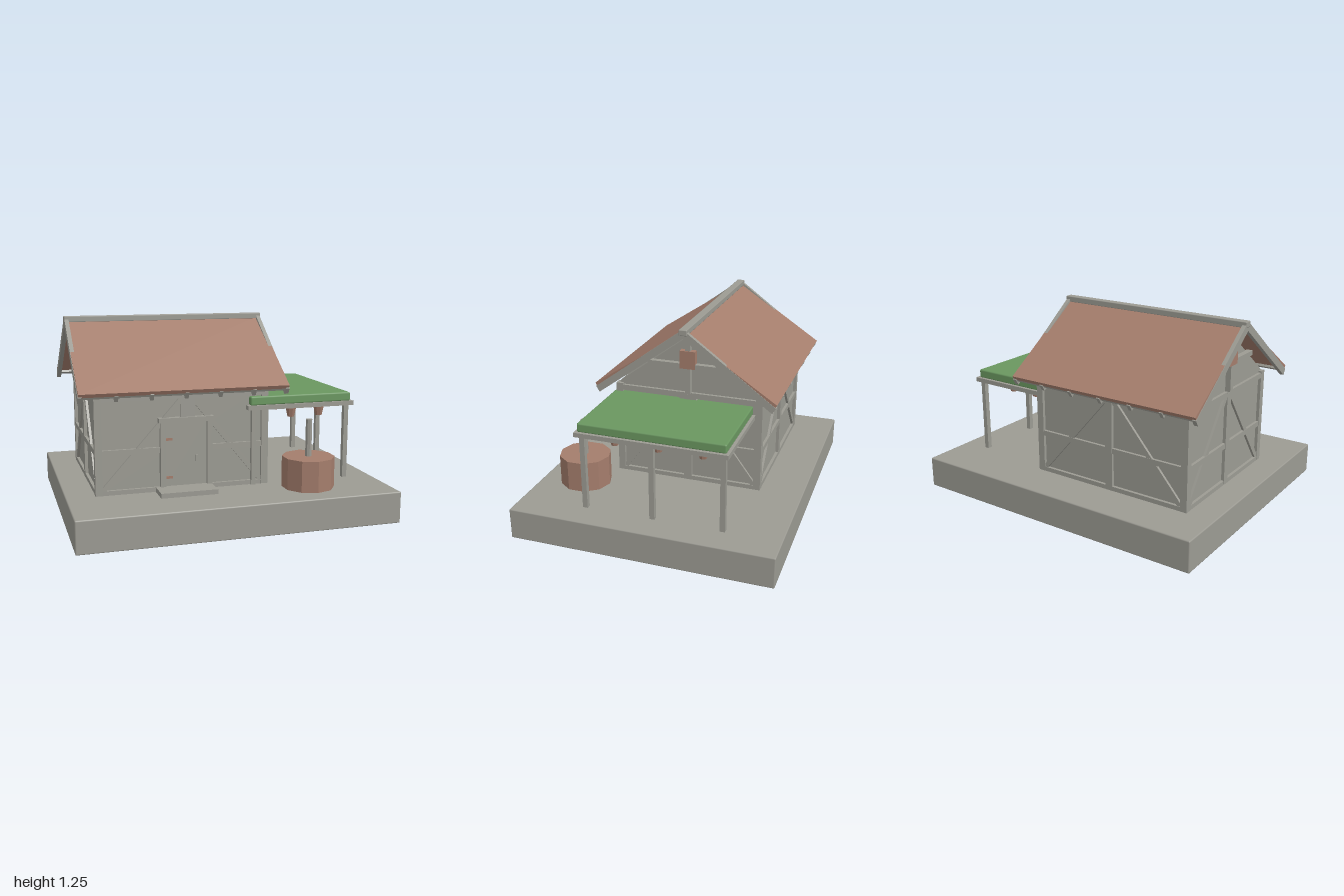
import * as THREE from 'three';
import { RoundedBoxGeometry } from 'three/addons/geometries/RoundedBoxGeometry.js';

const stone = new THREE.MeshStandardMaterial({ name: 'grey', color: 0x9c9b93 });
const clay = new THREE.MeshStandardMaterial({ name: 'terracotta', color: 0xa47d6c });
const green = new THREE.MeshStandardMaterial({ name: 'green', color: 0x6a9760 });
const lanternMat = clay;

const RIDGE_Z = -0.08;

function add(parent, name, geometry, material) {
  const mesh = new THREE.Mesh(geometry, material);
  mesh.name = name;
  parent.add(mesh);
  return mesh;
}

// Box given by its limits; a bevel above zero softens the edges
function box(parent, name, material, [x0, x1], [y0, y1], [z0, z1], bevel = 0) {
  const size = [x1 - x0, y1 - y0, z1 - z0];
  const geometry = bevel ? new RoundedBoxGeometry(...size, 1, bevel) : new THREE.BoxGeometry(...size);
  const mesh = add(parent, name, geometry, material);
  mesh.position.set((x0 + x1) / 2, (y0 + y1) / 2, (z0 + z1) / 2);
  return mesh;
}

// Outline of [z, y] points extruded along x from x0 to x1
function prismX(parent, name, material, points, x0, x1) {
  const shape = new THREE.Shape(points.map(([z, y]) => new THREE.Vector2(-z, y)));
  const geometry = new THREE.ExtrudeGeometry(shape, { depth: x1 - x0, bevelEnabled: false });
  geometry.rotateY(Math.PI / 2);
  geometry.translate(x0, 0, 0);
  return add(parent, name, geometry, material);
}

// Sloping timber in a wall plane
function brace(parent, x0, y0, x1, y1) {
  const length = Math.hypot(x1 - x0, y1 - y0);
  const mesh = add(parent, 'brace', new THREE.BoxGeometry(length, 0.03, 0.016), stone);
  mesh.position.set((x0 + x1) / 2, (y0 + y1) / 2, 0.008);
  mesh.rotation.z = Math.atan2(y1 - y0, x1 - x0);
}

// Timber frame of one wall; local x runs along the wall, z points outwards
function timberFrame(name, width, hasDoor) {
  const frame = new THREE.Group();
  frame.name = name;
  const h = width / 2;
  const z = [0, 0.02];
  const c = hasDoor ? 0.025 : 0;
  for (const s of [-1, 1]) {
    const outer = s * h;
    const inner = s * (h - 0.045);
    box(frame, 'cornerPost', stone, [Math.min(outer, inner), Math.max(outer, inner)], [0.2, 0.82], z);
    brace(frame, s * (h - 0.04), 0.22, c + s * 0.03, 0.78);
    const from = hasDoor ? c + s * 0.16 : c + s * 0.02;
    box(frame, 'middleRail', stone, [Math.min(from, inner), Math.max(from, inner)], [0.444, 0.478], [0, 0.018]);
  }
  box(frame, 'topRail', stone, [-h, h], [0.775, 0.81], [0, 0.019]);
  box(frame, 'sill', stone, [-h, h], [0.2, 0.228], [0, 0.019]);
  if (hasDoor) box(frame, 'centrePost', stone, [c - 0.045, c + 0.045], [0.65, 0.8], z);
  else box(frame, 'centrePost', stone, [c - 0.025, c + 0.025], [0.2, 0.8], z);
  return frame;
}

function buildHouse() {
  const house = new THREE.Group();
  house.name = 'house';

  // Walls with gables
  prismX(house, 'walls', stone,
    [[0.39, 0.2], [-0.54, 0.2], [-0.54, 0.83], [RIDGE_Z, 1.18], [0.39, 0.83]], -0.8, 0.26);

  const frames = [
    ['frontFrame', 1.1, true, -0.27, 0.39, 0],
    ['backFrame', 1.1, false, -0.27, -0.54, Math.PI],
    ['rightFrame', 0.97, false, 0.26, -0.075, Math.PI / 2],
    ['leftFrame', 0.97, false, -0.8, -0.075, -Math.PI / 2],
  ];
  for (const [name, width, door, x, z, turn] of frames) {
    const frame = timberFrame(name, width, door);
    frame.position.set(x, 0, z);
    frame.rotation.y = turn;
    house.add(frame);
  }

  // Gable timbers and shutters at both ends
  for (const x of [0.275, -0.815]) {
    const span = (d) => [x - d, x + d];
    box(house, 'gableBeam', stone, span(0.02), [0.975, 1.005], [-0.345, 0.185]);
    box(house, 'kingPost', stone, span(0.019), [0.81, 1.2], [-0.097, -0.063]);
    box(house, 'gableShutter', clay, span(0.026), [0.975, 1.09], [-0.13, -0.03]);
  }

  // Door, its frame and step
  const door = new THREE.Group();
  door.name = 'door';
  box(door, 'doorPanel', stone, [-0.39, -0.12], [0.22, 0.64], [0.38, 0.405]);
  for (const x of [-0.42, -0.125]) box(door, 'doorJamb', stone, [x, x + 0.033], [0.2, 0.66], [0.38, 0.425]);
  box(door, 'doorLintel', stone, [-0.43, -0.083], [0.63, 0.66], [0.38, 0.428]);
  for (const y of [0.525, 0.285]) box(door, 'hinge', clay, [-0.387, -0.342], [y - 0.008, y + 0.008], [0.404, 0.41]);
  box(door, 'doorHandle', stone, [-0.196, -0.183], [0.378, 0.42], [0.404, 0.42]);
  box(door, 'doorStep', stone, [-0.45, -0.095], [0.2, 0.23], [0.4, 0.56]);
  house.add(door);
  return house;
}

function buildRoof() {
  const roof = new THREE.Group();
  roof.name = 'roof';
  const at = (s, d) => RIDGE_Z + s * d;
  // Points are given as [distance from ridge, y]
  const slab = (name, mat, pts, x0, x1) => {
    for (const s of [1, -1]) prismX(roof, name, mat, pts.map(([d, y]) => [at(s, d), y]), x0, x1);
  };
  slab('roofPanel', clay, [[0, 1.232], [0.59, 0.842], [0.577, 0.82], [0, 1.205]], -0.92, 0.38);
  for (let i = 0; i < 7; i++) {
    const x = -0.91 + i * 0.2133;
    const w = i % 6 === 0 ? 0.013 : 0.011;
    slab('rafter', stone, [[0, 1.252], [0.585, 0.822], [0.562, 0.785], [0, 1.195]].map(([d, y]) =>
      [d, i % 6 === 0 || d > 0 || y < 1.2 ? y : 1.22]), x - w, x + w);
  }
  // Battens under the eaves
  slab('eaveBatten', stone, [[0.555, 0.84], [0.578, 0.825], [0.568, 0.808], [0.545, 0.823]], -0.91, 0.37);
  box(roof, 'ridgeBeam', stone, [-0.925, 0.39], [1.215, 1.252], [-0.107, -0.055], 0.005);
  return roof;
}

function buildPorch() {
  const porch = new THREE.Group();
  porch.name = 'porch';
  box(porch, 'porchRoof', green, [0.158, 0.838], [0.708, 0.765], [-0.495, 0.425], 0.01);
  box(porch, 'porchFrame', stone, [0.138, 0.855], [0.682, 0.71], [-0.512, 0.44]);
  for (const z of [0.4, -0.037, -0.475]) {
    box(porch, 'porchPost', stone, [0.8, 0.83], [0.2, 0.69], [z - 0.016, z + 0.016]);
  }
  box(porch, 'wallPost', stone, [0.165, 0.195], [0.2, 0.69], [0.4, 0.425]);

  // Hanging lanterns
  for (const x of [0.305, 0.5, 0.697]) {
    for (const z of [0.245, -0.035, -0.315]) {
      const geometry = new THREE.CylinderGeometry(0.044, 0.023, 0.092, 8).toNonIndexed();
      geometry.computeVertexNormals();
      add(porch, 'lantern', geometry, lanternMat).position.set(x, 0.637, z);
    }
  }
  return porch;
}

function buildBarrel() {
  const barrel = new THREE.Group();
  barrel.name = 'barrel';
  const parts = [['barrelBody', 0.165, 0.2, 0.396, 10, clay], ['barrelPole', 0.021, 0.38, 0.63, 8, stone]];
  for (const [name, r, y0, y1, sides, mat] of parts) {
    const geometry = new THREE.CylinderGeometry(r, r, y1 - y0, sides).toNonIndexed();
    geometry.computeVertexNormals();
    add(barrel, name, geometry, mat).position.set(0.498, (y0 + y1) / 2, 0.548);
  }
  return barrel;
}

export function createModel() {
  const model = new THREE.Group();
  model.name = 'timberHouse';
  box(model, 'base', stone, [-1, 1], [0, 0.2], [-0.833, 0.833], 0.008);
  model.add(buildHouse(), buildRoof(), buildPorch(), buildBarrel());
  // Mirrored outlines are reordered by the extruder, so every face points outwards
  return model;
}
